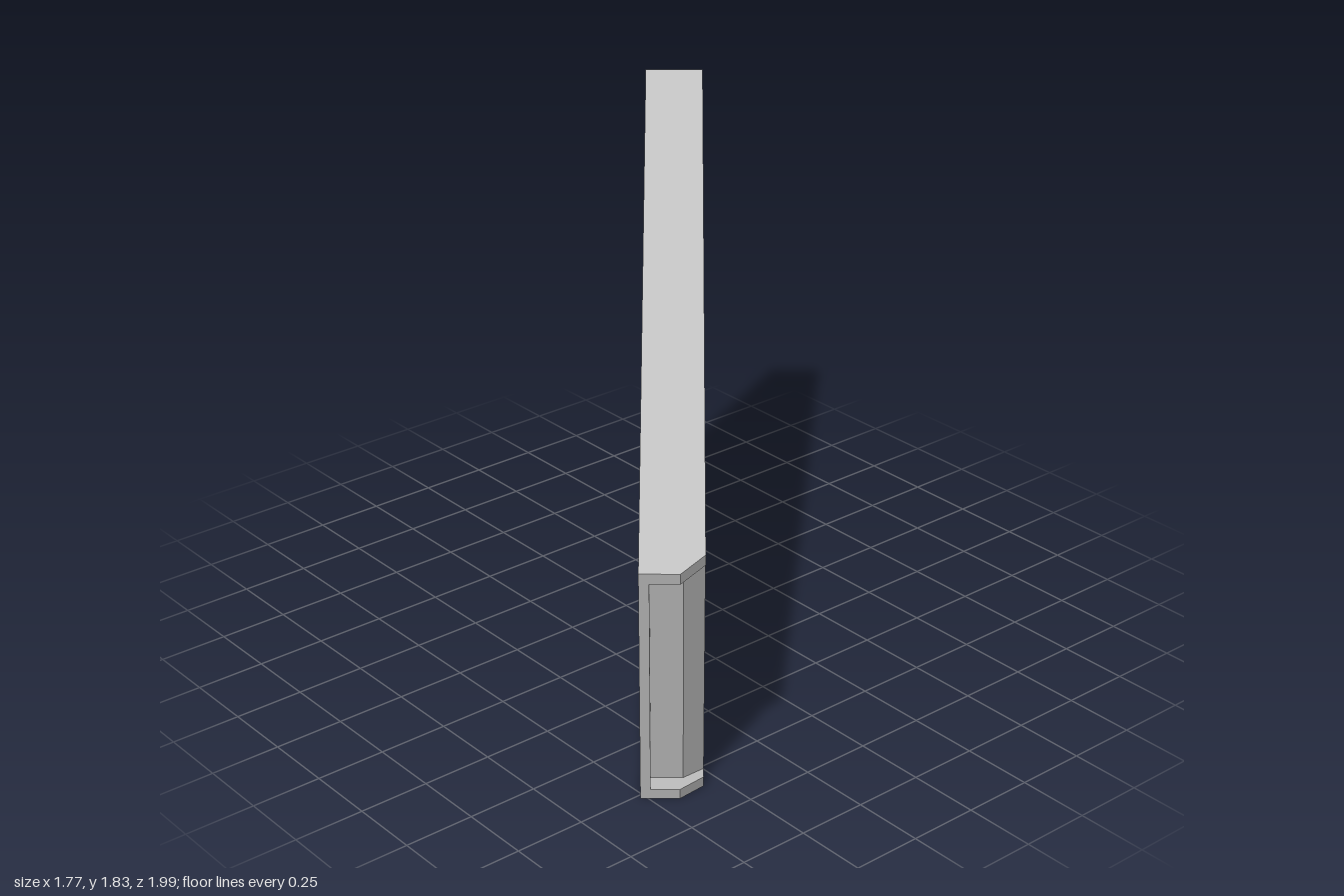
import * as THREE from 'three';
import { mergeGeometries } from 'three/addons/utils/BufferGeometryUtils.js';

// Local frame: x runs front to back along the panel, y up, z through its thickness.
// s is the distance behind the leaning front edge.
const LEAN = 0.2025, LEN = 2.313, THICK = 0.205, FRONT = -1.082;
const px = (s, y) => FRONT - LEAN * y + s;
const top = s => 0.925 + 0.392 * s;
const bottom = () => 0;
const recessTop = s => 0.885 + 0.392 * s;
const recessBottom = () => 0.04;

const vec = pts => pts.map(([a, b]) => new THREE.Vector2(a, b));

// Flat face from an outline; map turns each outline point into a 3D point
function face(outline, map, holes = []) {
  const shape = new THREE.Shape(vec(outline));
  holes.forEach(h => shape.holes.push(new THREE.Path(vec(h))));
  const g = new THREE.ShapeGeometry(shape).toNonIndexed();
  const p = g.attributes.position;
  for (let i = 0; i < p.count; i++) p.setXYZ(i, ...map(p.getX(i), p.getY(i)));
  g.deleteAttribute('uv');
  g.computeVertexNormals();
  return g;
}

// Roof or floor over an (s, z) outline
const cap = (outline, yOf) => face(outline, (s, z) => [px(s, yOf(s)), yOf(s), z]);

// Leaning wall along an (s, z) path between two heights
function wall(path, yLow, yHigh) {
  const v = [];
  for (let i = 0; i + 1 < path.length; i++) {
    const [a, b] = [path[i], path[i + 1]];
    const P = ([s, z], f) => [px(s, f(s)), f(s), z];
    const [p, q, r, t] = [P(a, yLow), P(b, yLow), P(b, yHigh), P(a, yHigh)];
    v.push(...p, ...q, ...r, ...p, ...r, ...t);
  }
  const g = new THREE.BufferGeometry();
  g.setAttribute('position', new THREE.Float32BufferAttribute(v, 3));
  g.computeVertexNormals();
  return g;
}

// Blind pocket sunk into the z = 0 face
function pocket(outline, depth) {
  const v = [];
  outline.forEach(([x0, y0], i) => {
    const [x1, y1] = outline[(i + 1) % outline.length];
    v.push(x0, y0, 0, x1, y1, 0, x1, y1, depth, x0, y0, 0, x1, y1, depth, x0, y0, depth);
  });
  const g = new THREE.BufferGeometry();
  g.setAttribute('position', new THREE.Float32BufferAttribute(v, 3));
  g.computeVertexNormals();
  return mergeGeometries([g, face(outline, (x, y) => [x, y, depth])]);
}

const circle = (x, y, r, n = 24) => Array.from({ length: n }, (_, i) => {
  const a = i / n * Math.PI * 2;
  return [x + r * Math.cos(a), y + r * Math.sin(a)];
});

export function createModel() {
  const group = new THREE.Group();
  const grey = new THREE.MeshStandardMaterial({ color: 0xc0c0c0, side: THREE.DoubleSide });
  grey.name = 'light grey';
  const panel = new THREE.Group();
  panel.name = 'panel';
  const add = (name, ...geos) => {
    const m = new THREE.Mesh(mergeGeometries(geos), grey);
    m.name = name;
    panel.add(m);
  };

  // Screw holes in four groups of three, a cable hole and a long slot
  const screwHoles = [];
  for (const [x, y] of [[0.805, 1.505], [0.036, 1.165], [1.056, 0.273], [0.215, 0.286]])
    for (const [dx, dy] of [[0, 0], [-0.17, 0.073], [-0.132, -0.134]])
      screwHoles.push(circle(x + dx, y + dy, 0.017, 16));
  const cableHole = circle(-0.995, 0.495, 0.047);
  const slot = [[0.388, 0.12], [0.428, 0.12], [0.168, 1.4], [0.128, 1.4]];

  // Inner side with all its openings
  const flat = z => (s, y) => [px(s, y), y, z];
  const plain = z => (x, y) => [x, y, z];
  const innerOutline = [[0, 0], [LEN, 0], [LEN, top(LEN)], [0, top(0)]].map(([s, y]) => [px(s, y), y]);
  add('innerSide', face(innerOutline, plain(0), [...screwHoles, cableHole, slot]));
  add('screwHoles', ...screwHoles.map(h => pocket(h, 0.06)));
  add('cableHole', pocket(cableHole, 0.1));
  add('shelfSlot', pocket(slot, 0.06));

  // Outer side, notched by the front recess
  const C = 0.075, R = 0.125, Z1 = 0.128;
  add('outerSide', face([[C, 0], [LEN, 0], [LEN, top(LEN)], [C, top(C)], [C, recessTop(C)],
    [R, recessTop(R)], [R, 0.04], [C, 0.04]], flat(THICK)));

  // Top and bottom edges with the chamfered front corner
  const plan = [[0, 0], [0, Z1], [C, THICK], [LEN, THICK], [LEN, 0]];
  add('topEdge', cap(plan, top));
  add('bottomEdge', cap(plan, bottom));

  // Front edge and its recess
  const nose = [[0, 0.033], [0, Z1], [C, THICK]];
  const recessBack = [[0, 0.033], [0.07, 0.033], [0.07, 0.138], [R, THICK]];
  const recessPlan = [...nose, ...recessBack.slice(1).reverse()];
  add('frontEdge', wall([[0, 0], [0, 0.033]], bottom, top),
    wall(nose, bottom, recessBottom), wall(nose, recessTop, top));
  add('frontRecess', wall(recessBack, recessBottom, recessTop),
    cap(recessPlan, recessBottom), cap(recessPlan, recessTop));

  // Back edge with a deep groove
  const g0 = 0.061, g1 = 0.138, low = () => 0.08, high = () => 1.75, D = LEN - 0.12;
  add('backEdge', face([[0, 0], [THICK, 0], [THICK, top(LEN)], [0, top(LEN)]],
    (z, y) => [px(LEN, y), y, z], [[[g0, 0.08], [g1, 0.08], [g1, 1.75], [g0, 1.75]]]));
  const groove = [[LEN, g0], [D, g0], [D, g1], [LEN, g1]];
  add('backGroove', wall(groove, low, high), cap(groove, low), cap(groove, high));

  // Centre the thickness and turn the panel diagonally
  panel.children.forEach(m => { m.position.set(0.019, 0, -0.0925); });
  panel.position.set(-0.012, 0, 0.015);
  panel.rotation.y = Math.atan2(0.763, 0.646);
  group.add(panel);
  return group;
}
